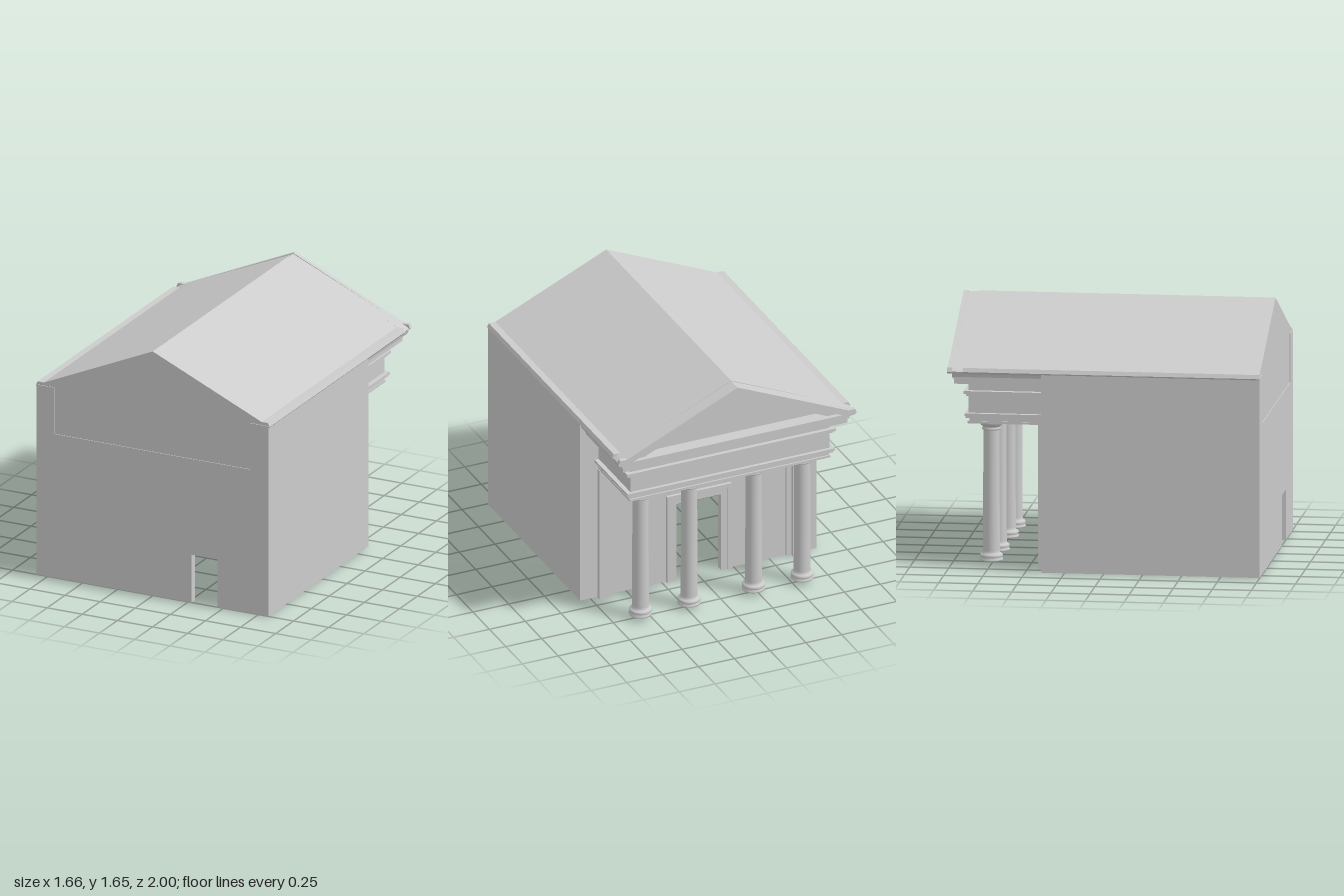
import * as THREE from 'three';

const mat = new THREE.MeshStandardMaterial({ color: 0xcccccc });
const thin = new THREE.MeshStandardMaterial({ color: 0xcccccc, side: THREE.DoubleSide });

function add(parent, name, geometry, material = mat) {
  const mesh = new THREE.Mesh(geometry, material);
  mesh.name = name;
  parent.add(mesh);
  return mesh;
}

// Axis-aligned block given by its limits
function block(parent, name, x0, x1, y0, y1, z0, z1) {
  const mesh = add(parent, name, new THREE.BoxGeometry(x1 - x0, y1 - y0, z1 - z0));
  mesh.position.set((x0 + x1) / 2, (y0 + y1) / 2, (z0 + z1) / 2);
  return mesh;
}

const toPoints = (pairs) => pairs.map(([x, y]) => new THREE.Vector2(x, y));

// Outline in the xy plane, extruded from z0 to z1
function slab(parent, name, pairs, z0, z1, hole) {
  const shape = new THREE.Shape(toPoints(pairs));
  if (hole) shape.holes.push(new THREE.Path(toPoints(hole)));
  const geometry = new THREE.ExtrudeGeometry(shape, { depth: z1 - z0, bevelEnabled: false });
  geometry.translate(0, 0, z0);
  return add(parent, name, geometry);
}

export function createModel() {
  const model = new THREE.Group();
  const temple = new THREE.Group();
  temple.name = 'temple';
  temple.position.x = -0.005;
  model.add(temple);

  const half = 0.825; // half width of the hall

  // Front wall with a small door and a notch for the gable panel
  slab(temple, 'frontWall', [
    [-half, 0], [0.28, 0], [0.28, 0.325], [0.465, 0.325], [0.465, 0], [half, 0],
    [half, 1.29], [0.695, 1.29], [0.695, 0.975], [-0.695, 0.975], [-0.695, 1.29], [-half, 1.29],
  ], 0.955, 1);
  slab(temple, 'gablePanel', [
    [-0.695, 0.975], [0.695, 0.975], [0.695, 1.27], [-0.695, 1.27],
  ], 0.96, 0.995);

  // Portico wall with the main doorway
  slab(temple, 'porticoWall', [
    [-half, 0], [-0.155, 0], [-0.155, 0.55], [0.155, 0.55], [0.155, 0], [half, 0],
    [half, 1.26], [-half, 1.26],
  ], -0.4, -0.36);

  // Outer side walls and the inner lining
  for (const s of [-1, 1]) {
    const outer = add(temple, 'sideWall', new THREE.PlaneGeometry(1.4, 1.28));
    outer.rotation.y = s * Math.PI / 2;
    outer.position.set(s * half, 0.64, 0.3);
    const inner = add(temple, 'innerSideWall', new THREE.PlaneGeometry(1.33, 0.9));
    inner.rotation.y = -s * Math.PI / 2;
    inner.position.set(s * 0.67, 0.45, 0.3);
  }
  const ceiling = add(temple, 'ceiling', new THREE.PlaneGeometry(1.64, 1.36), thin);
  ceiling.rotation.x = Math.PI / 2;
  ceiling.position.set(0, 0.9, 0.3);

  // Roof with flat-topped eaves
  slab(temple, 'roof', [
    [-0.815, 1.25], [0.815, 1.25], [0.82, 1.27], [0.832, 1.285], [0.82, 1.31], [0.775, 1.31],
    [0, 1.655], [-0.775, 1.31], [-0.82, 1.31], [-0.832, 1.285], [-0.82, 1.27],
  ], -0.9, 0.995);

  // Stepped raking cornice around the recessed pediment
  slab(temple, 'outerRakingCornice', [
    [-0.815, 1.27], [0.815, 1.27], [0.832, 1.285], [0.82, 1.31], [0.775, 1.31],
    [0, 1.655], [-0.775, 1.31], [-0.82, 1.31], [-0.832, 1.285],
  ], -1, -0.97, [[-0.73, 1.285], [0, 1.61], [0.73, 1.285]]);
  slab(temple, 'innerRakingCornice', [
    [-0.815, 1.25], [0.815, 1.25], [0.825, 1.285], [0.8, 1.3],
    [0, 1.65], [-0.8, 1.3], [-0.825, 1.285],
  ], -0.97, -0.9, [[-0.65, 1.28], [0, 1.57], [0.65, 1.28]]);

  // Entablature courses: bottom, top, half width, depth
  const courses = [
    [0.93, 0.945, 0.7, 0.885], [0.945, 0.968, 0.695, 0.875], [0.968, 0.982, 0.715, 0.895],
    [0.982, 0.998, 0.725, 0.902], [0.998, 1.11, 0.695, 0.88], [1.11, 1.125, 0.715, 0.893],
    [1.125, 1.143, 0.73, 0.907], [1.143, 1.2, 0.695, 0.88], [1.2, 1.235, 0.785, 0.96],
    [1.235, 1.25, 0.795, 0.97],
  ];
  for (const [y0, y1, w, d] of courses) {
    block(temple, 'entablatureCourse', -w, w, y0, y1, -d, -0.4);
  }

  // Columns, each one turned profile with moulded base and capital
  const profile = toPoints([
    [0.066, 0.025], [0.074, 0.027], [0.075, 0.035], [0.066, 0.045], [0.072, 0.05], [0.073, 0.062],
    [0.066, 0.07], [0.056, 0.074], [0.054, 0.09], [0.051, 0.868], [0.058, 0.872], [0.06, 0.88],
    [0.055, 0.886], [0.055, 0.892], [0.068, 0.902], [0.07, 0.91], [0.075, 0.915], [0.075, 0.93],
  ]);
  for (const x of [-0.565, -0.225, 0.225, 0.565]) {
    const column = add(temple, 'column', new THREE.LatheGeometry(profile, 32));
    column.position.set(x, 0, -0.75);
  }

  // Wall pilasters behind the outer columns
  for (const s of [-1, 1]) {
    const p = block(temple, 'pilaster', -0.03, 0.03, 0, 0.93, -0.435, -0.4);
    p.position.x = s * 0.675;
    const q = block(temple, 'pilasterEdge', -0.02, 0.02, 0, 0.93, -0.415, -0.4);
    q.position.x = s * 0.63;
  }

  // Doorway surround in two steps, with a bracketed hood
  const surround = (w, top, inner, innerTop) => [
    [-w, 0], [-inner, 0], [-inner, innerTop], [inner, innerTop], [inner, 0], [w, 0], [w, top], [-w, top],
  ];
  slab(temple, 'doorSurround', surround(0.22, 0.615, 0.155, 0.55), -0.41, -0.4);
  slab(temple, 'doorSurroundEdge', surround(0.225, 0.62, 0.2, 0.595), -0.42, -0.4);
  block(temple, 'doorHood', -0.25, 0.25, 0.705, 0.725, -0.44, -0.4);
  block(temple, 'doorHoodMoulding', -0.235, 0.235, 0.69, 0.705, -0.425, -0.4);
  for (const s of [-1, 1]) {
    const bracket = block(temple, 'hoodBracket', -0.015, 0.015, 0.64, 0.69, -0.42, -0.4);
    bracket.position.x = s * 0.2;
  }

  return model;
}
